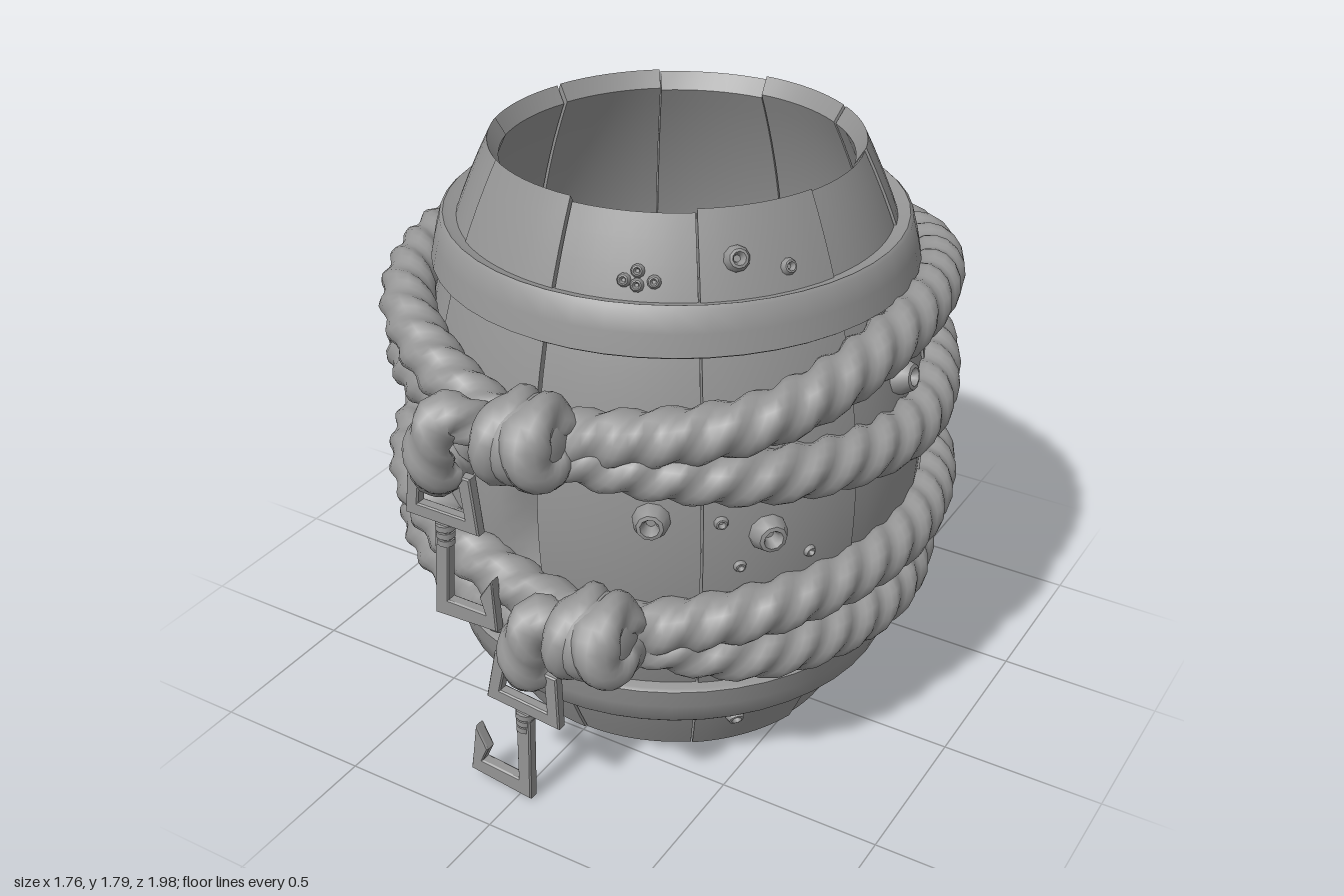
import * as THREE from 'three';
import { toCreasedNormals } from 'three/addons/utils/BufferGeometryUtils.js';

const H = 1.79, CZ = -0.06; // barrel height and axis offset
const mat = new THREE.MeshStandardMaterial({ color: 0x959595 });
const V = (x, y, z) => new THREE.Vector3(x, y, z);

// Outer radius of the barrel at height y
const radiusAt = (y) => 0.54 + 0.225 * (1 - ((y - H / 2) / (H / 2)) ** 2);
// Point around the barrel axis, angle 0 at the front, growing toward +x
const polar = (a, y, r) => V(r * Math.sin(a), y, CZ + r * Math.cos(a));

function add(parent, name, geometry) {
  const mesh = new THREE.Mesh(geometry, mat);
  mesh.name = name;
  parent.add(mesh);
  return mesh;
}

// One curved plank: a box wrapped around the barrel profile, its rim sloping inward
function stave(a0, a1, top, bulge, chipped) {
  const geo = new THREE.BoxGeometry(1, 1, 1, 8, 28, 1);
  const p = geo.attributes.position;
  for (let i = 0; i < p.count; i++) {
    const u = p.getX(i) + 0.5, outer = p.getZ(i) > 0;
    const y = (p.getY(i) + 0.5) * (outer ? top : top - 0.05);
    let r = radiusAt(y) + bulge - (outer ? 0 : 0.055);
    // Worn hollow along one edge
    const d = Math.abs(y - 0.82) / 0.17;
    if (chipped && outer && u > 0.8 && d < 1) r -= 0.05 * Math.sqrt(1 - d);
    const q = polar(a0 + (a1 - a0) * u, y, r);
    p.setXYZ(i, q.x, q.y, q.z);
  }
  geo.computeVertexNormals();
  return geo;
}

// Twisted three-strand rope swept along a curve
function rope(curve, radius = 0.083, sides = 15) {
  const closed = curve.closed, length = curve.getLength();
  const n = Math.max(24, Math.round(length / 0.02));
  const twists = Math.max(1, Math.round(length / 0.36));
  const frames = curve.computeFrenetFrames(n, closed);
  const pos = [], index = [];
  for (let i = 0; i <= n; i++) {
    const c = curve.getPointAt(i / n);
    for (let j = 0; j < sides; j++) {
      const a = (j / sides) * Math.PI * 2;
      const r = radius * (0.92 + 0.1 * Math.cos(3 * a + Math.PI * 6 * twists * i / n));
      const q = c.clone()
        .addScaledVector(frames.normals[i], r * Math.cos(a))
        .addScaledVector(frames.binormals[i], r * Math.sin(a));
      pos.push(q.x, q.y, q.z);
    }
  }
  const rings = closed ? n : n + 1;
  for (let i = 0; i < n; i++) for (let j = 0; j < sides; j++) {
    const k = (j + 1) % sides, i2 = (i + 1) % rings;
    const a = i * sides + j, d = i * sides + k, b = i2 * sides + j, c = i2 * sides + k;
    index.push(a, d, b, d, c, b);
  }
  const geo = new THREE.BufferGeometry();
  geo.setAttribute('position', new THREE.Float32BufferAttribute(pos, 3));
  geo.setIndex(index);
  geo.computeVertexNormals();
  return geo;
}

// Lumpy knot made of wrapped coils, with a loop hanging beside it
function knot(dx) {
  const g = new THREE.Group();
  g.name = 'knot';
  const core = add(g, 'knotCore', new THREE.SphereGeometry(0.12, 16, 12));
  core.scale.set(0.95, 1.05, 1.15);
  [[-0.05, 0.2], [0.05, -0.15]].forEach(([x, tilt]) => {
    const pts = [];
    for (let i = 0; i < 8; i++) {
      const a = i * Math.PI / 4;
      pts.push(V(x + tilt * 0.08 * Math.cos(a), 0.068 * Math.cos(a), 0.08 * Math.sin(a)));
    }
    add(g, 'knotCoil', rope(new THREE.CatmullRomCurve3(pts, true), 0.073));
  });
  const loop = [[0.12, -0.02, -0.02], [0.03, 0.03, 0.05], [0, -0.05, 0.085], [0, -0.13, 0.08],
    [0, -0.17, 0.03], [0.01, -0.12, -0.04], [0.1, -0.04, -0.06]];
  add(g, 'hangingLoop', rope(new THREE.CatmullRomCurve3(
    loop.map(([x, y, z]) => V(dx + x, y, z))), 0.07));
  return g;
}

const polygon = (pts, Type = THREE.Shape) => new Type(pts.map(([x, y]) => new THREE.Vector2(x, y)));
function plate(shape) {
  const geo = new THREE.ExtrudeGeometry(shape, {
    depth: 0.026, bevelThickness: 0.005, bevelSize: 0.004, bevelSegments: 1 });
  return geo.translate(0, 0, -0.013);
}

// Metal hook hanging from a rectangular eye
function hook() {
  const g = new THREE.Group();
  g.name = 'hook';
  const eye = polygon([[-0.122, -0.085], [0.122, -0.085], [0.102, 0.085], [-0.102, 0.085]]);
  eye.holes.push(polygon([[-0.085, -0.05], [-0.07, 0.06], [0.07, 0.06], [0.085, -0.05]], THREE.Path));
  add(g, 'hookEye', plate(eye));
  [-0.1, -0.125, -0.15].forEach((y, i) => {
    add(g, 'hookCollar', new THREE.CylinderGeometry(0.03 - 0.002 * i, 0.03 - 0.002 * i, 0.018, 10))
      .position.y = y;
  });
  add(g, 'hookShank', plate(polygon([[-0.02, -0.09], [-0.04, -0.4], [0.168, -0.392], [0.16, -0.23],
    [0.12, -0.295], [0.138, -0.35], [0, -0.35], [0.02, -0.09]])));
  return g;
}

export function createModel() {
  const model = new THREE.Group();

  // Planks, with small differences in height and bulge
  const barrel = new THREE.Group();
  barrel.name = 'barrel';
  model.add(barrel);
  const step = Math.PI / 5;
  for (let i = 0; i < 10; i++) {
    const gap = (k) => (k % 5 === 0 ? 0.006 : 0.004);
    add(barrel, 'stave', stave(i * step + gap(i), (i + 1) * step - gap(i + 1),
      H - [0.015, 0.004, 0.012, 0.004, 0][i % 5], [0, 0.005, -0.004, 0.003][i % 4], i === 9));
  }

  // Softly shaded floor
  const floor = [[0, 0.03], [0.52, 0.03], [0.52, 0.08], [0, 0.08]].map(([r, y]) => new THREE.Vector2(r, y));
  add(barrel, 'floor', new THREE.LatheGeometry(floor, 40)).position.z = CZ;

  // Hoops, mirrored top and bottom
  const profile = [[0.62, 1.43], [0.71, 1.43], [0.72, 1.437], [0.707, 1.5], [0.69, 1.563], [0.68, 1.572],
    [0.665, 1.565], [0.6, 1.55]];
  [false, true].forEach((low) => {
    const pts = profile.map(([r, y]) => new THREE.Vector2(r, low ? 1.77 - y : y));
    if (low) pts.reverse();
    add(barrel, 'hoop', toCreasedNormals(new THREE.LatheGeometry(pts, 48), 0.7)).position.z = CZ;
  });

  // Rope turns: heights and radii every 45 degrees from the front
  const turns = [
    [[1.2, 1.28, 1.37, 1.34, 1.25, 1.16, 1.11, 1.16], [0.8, 0.81, 0.75, 0.8, 0.86, 0.82, 0.79, 0.79]],
    [[1.19, 1.11, 1.06, 1.12, 1.2, 1.3, 1.37, 1.33], [0.81, 0.8, 0.79, 0.78, 0.78, 0.76, 0.75, 0.8]],
    [[0.58, 0.66, 0.68, 0.68, 0.66, 0.64, 0.62, 0.6], [0.8, 0.8, 0.78, 0.82, 0.86, 0.82, 0.775, 0.79]],
    [[0.67, 0.51, 0.46, 0.5, 0.58, 0.72, 0.82, 0.78], [0.81, 0.78, 0.745, 0.76, 0.78, 0.8, 0.8, 0.81]],
  ];
  turns.forEach(([ys, rs]) => {
    const pts = ys.map((y, i) => polar(i * Math.PI / 4, y, rs[i]));
    add(model, 'ropeTurn', rope(new THREE.CatmullRomCurve3(pts, true)));
  });

  // Knots and their hooks, the lower hook mirrored and slightly tilted
  [[0.06, 1.23, 0.82, -0.26, -0.215, 0.98, 1, 0], [0.245, 0.64, 0.79, -0.19, 0.04, 0.415, -1, -0.09]]
    .forEach(([x, y, z, dx, hx, hy, side, tilt]) => {
      const k = knot(dx);
      k.position.set(x, y, z);
      model.add(k);
      const h = hook();
      h.position.set(hx, hy, 0.84);
      h.scale.x = side;
      h.rotation.z = tilt;
      model.add(h);
    });

  // Barnacles: x, y and size, set on the barrel surface
  const barnacle = toCreasedNormals(new THREE.LatheGeometry(
    [[1, -0.3], [0.95, 0.25], [0.7, 0.8], [0.5, 0.85], [0.35, 0.6], [0.25, 0.2], [0, 0.2]]
      .map(([r, y]) => new THREE.Vector2(r, y)), 10), 0.9);
  [[0.33, 0.96, 0.055], [0.585, 0.9, 0.058], [0.49, 0.95, 0.022], [0.53, 0.8, 0.02], [0.66, 0.8, 0.02],
    [0.43, 1.66, 0.038], [0.53, 1.62, 0.025], [0.45, 0.15, 0.032], [0.765, 1.2, 0.055],
    [0.19, 1.61, 0.02], [0.225, 1.6, 0.02], [0.265, 1.61, 0.02], [0.22, 1.635, 0.02]]
    .forEach(([x, y, size]) => {
      const r = radiusAt(y), a = Math.asin(Math.min(1, x / r));
      const m = add(model, 'barnacle', barnacle);
      m.position.copy(polar(a, y, r));
      m.quaternion.setFromUnitVectors(V(0, 1, 0),
        V(Math.sin(a), 0.6 * (y - H / 2), Math.cos(a)).normalize());
      m.scale.setScalar(size);
    });
  return model;
}
